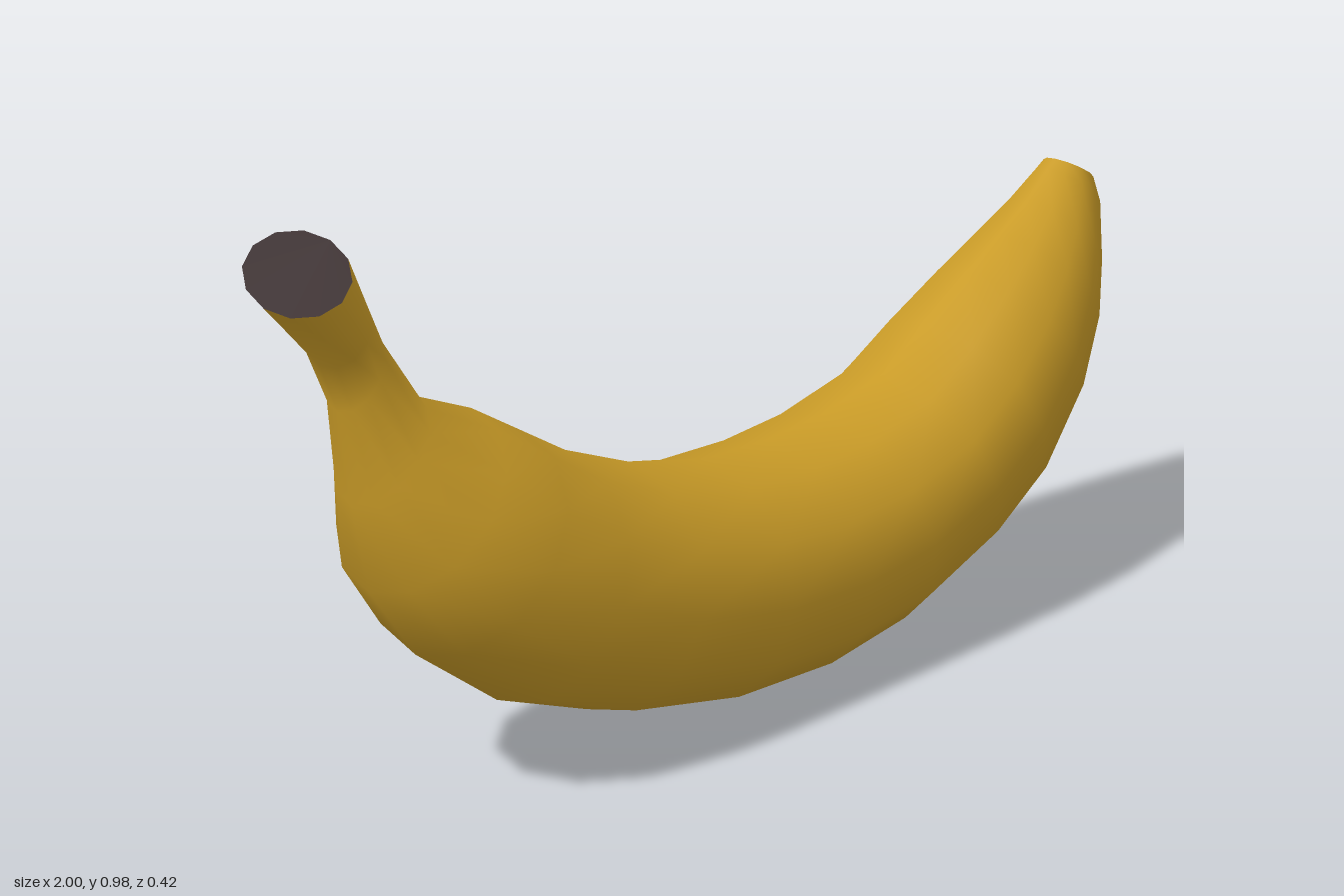
import * as THREE from 'three';

const SIDES = 12;

// Cross-sections from stem to tip: inner edge x, y; outer edge x, y; centre z; half width; tilt
const SECTIONS = [
  [-0.87, 0.975, -1.00, 0.90, 0.00, 0.073, 1],
  [-0.83, 0.89, -0.90, 0.79, 0.00, 0.058, 0.4],
  [-0.795, 0.815, -0.868, 0.71, 0.00, 0.055, 0],
  [-0.72, 0.70, -0.85, 0.56, 0.00, 0.085, 0],
  [-0.60, 0.65, -0.82, 0.41, 0.00, 0.155, 0],
  [-0.50, 0.59, -0.73, 0.28, 0.00, 0.193, 0],
  [-0.40, 0.53, -0.56, 0.15, 0.00, 0.207, 0],
  [-0.25, 0.47, -0.36, 0.07, 0.00, 0.212, 0],
  [-0.07, 0.43, -0.11, 0.015, 0.00, 0.212, 0],
  [0.08, 0.425, 0.13, 0.003, 0.00, 0.212, 0],
  [0.22, 0.435, 0.33, 0.03, 0.00, 0.211, 0],
  [0.38, 0.47, 0.52, 0.10, 0.00, 0.206, 0],
  [0.50, 0.535, 0.68, 0.18, -0.005, 0.197, 0],
  [0.62, 0.60, 0.83, 0.31, -0.01, 0.168, 0],
  [0.72, 0.647, 0.92, 0.43, -0.02, 0.135, 0],
  [0.81, 0.69, 0.965, 0.53, -0.03, 0.10, 0],
  [0.885, 0.732, 1.00, 0.64, -0.042, 0.065, 0],
  [0.91, 0.745, 0.99, 0.695, -0.045, 0.049, 0],
];

// Twelve points around one elliptical section; tilt leans the cut end forwards
function ring([ix, iy, ox, oy, z, w, tilt]) {
  return Array.from({ length: SIDES }, (_, j) => {
    const a = (j / SIDES) * Math.PI * 2;
    const c = Math.cos(a), s = Math.sin(a);
    return new THREE.Vector3(
      (ix + ox) / 2 + ((ix - ox) / 2) * c + 0.02 * tilt * s,
      (iy + oy) / 2 + ((iy - oy) / 2) * c - 0.033 * tilt * s,
      z + w * s
    );
  });
}

function makeGeometry(points, index) {
  const g = new THREE.BufferGeometry().setFromPoints(points);
  g.setIndex(index);
  g.computeVertexNormals();
  return g;
}

// Smooth skin joining neighbouring sections
function skinGeometry() {
  const index = [];
  for (let i = 0; i < SECTIONS.length - 1; i++) {
    for (let j = 0; j < SIDES; j++) {
      const k = (j + 1) % SIDES;
      const a = i * SIDES + j, b = i * SIDES + k;
      index.push(a, b, a + SIDES, b, b + SIDES, a + SIDES);
    }
  }
  return makeGeometry(SECTIONS.flatMap(ring), index);
}

// Flat fan closing one end
function capGeometry(section, atStart) {
  const index = [];
  for (let j = 1; j < SIDES - 1; j++) index.push(0, ...(atStart ? [j + 1, j] : [j, j + 1]));
  return makeGeometry(ring(section), index);
}

export function createModel() {
  const yellow = new THREE.MeshStandardMaterial({ name: 'ripe yellow', color: 0xc99b27 });
  const dark = new THREE.MeshStandardMaterial({ name: 'dark brown', color: 0x260d10 });

  const group = new THREE.Group();
  group.name = 'banana';
  const add = (name, geometry, material) => {
    const mesh = new THREE.Mesh(geometry, material);
    mesh.name = name;
    group.add(mesh);
  };

  add('peel', skinGeometry(), yellow);
  add('stemEnd', capGeometry(SECTIONS[0], true), dark);
  add('blossomEnd', capGeometry(SECTIONS[SECTIONS.length - 1], false), dark);
  return group;
}
